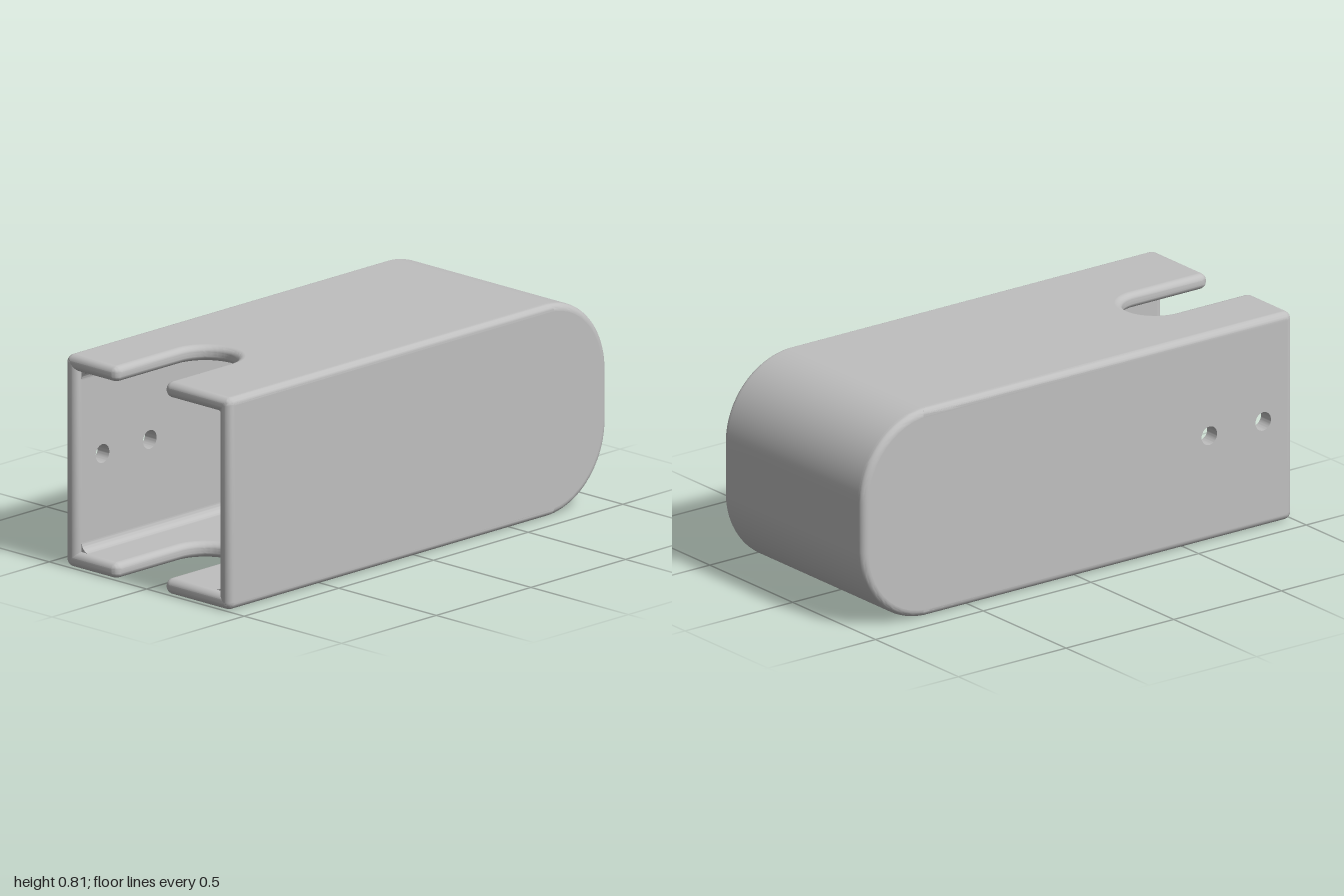
import * as THREE from 'three';
import { toCreasedNormals } from 'three/addons/utils/BufferGeometryUtils.js';

const H = 0.815, D = 0.845, T = 0.06; // height, depth, wall thickness
const B = 0.028, R = 0.31, C = 0.03;  // edge rounding, end radius, small corner radius
const XE = 1 - R;                     // where the rounded end starts

// Right-angled outline from [x, y, cornerRadius] entries
function roundedOutline(corners) {
  const pts = [];
  const add = (p) => {
    if (!pts.length || pts[pts.length - 1].distanceTo(p) > 1e-5) pts.push(p);
  };
  corners.forEach(([x, y, r], i) => {
    const p = new THREE.Vector2(x, y);
    if (!r) return add(p);
    const n = corners.length;
    const toward = (c) => new THREE.Vector2(c[0], c[1]).sub(p).normalize();
    const dp = toward(corners[(i + n - 1) % n]), dn = toward(corners[(i + 1) % n]);
    const centre = p.clone().addScaledVector(dp, r).addScaledVector(dn, r);
    const steps = r > 0.1 ? 24 : 6;
    for (let k = 0; k <= steps; k++) {
      const a = (k / steps) * Math.PI / 2;
      add(centre.clone().addScaledVector(dn, -r * Math.cos(a)).addScaledVector(dp, -r * Math.sin(a)));
    }
  });
  return new THREE.Shape(pts);
}

// Smooth rounded edges, but keep the flat faces truly flat
function smooth(geometry) {
  const geo = toCreasedNormals(geometry, 0.5);
  const pos = geo.attributes.position, nor = geo.attributes.normal;
  const tri = new THREE.Triangle(), n = new THREE.Vector3();
  for (let i = 0; i < pos.count; i += 3) {
    tri.setFromAttributeAndIndices(pos, i, i + 1, i + 2).getNormal(n);
    if (Math.abs(n.z) > 0.999) for (let k = 0; k < 3; k++) nor.setXYZ(i + k, 0, 0, Math.sign(n.z));
  }
  return geo;
}

// Sheet of wall thickness with rounded edges; drill holes stay straight
function sheet(shape, holes = []) {
  for (const [x, y, r] of holes) {
    shape.holes.push(new THREE.Path().absarc(x, y, r, 0, Math.PI * 2, true));
  }
  const geo = new THREE.ExtrudeGeometry(shape, {
    depth: T - 2 * B, bevelEnabled: true, bevelThickness: B, bevelSize: B,
    bevelOffset: -B, bevelSegments: 6, curveSegments: 24,
  });
  geo.translate(0, 0, -(T - 2 * B) / 2);
  const pos = geo.attributes.position;
  for (let i = 0; i < pos.count; i++) {
    for (const [x, y, r] of holes) {
      const dx = pos.getX(i) - x, dy = pos.getY(i) - y, d = Math.hypot(dx, dy);
      if (d < r + B + 0.01) pos.setXY(i, x + dx * r / d, y + dy * r / d);
    }
  }
  return smooth(geo);
}

export function createModel() {
  const model = new THREE.Group();
  model.name = 'openCover';
  const grey = new THREE.MeshStandardMaterial({ color: 0xbfbfbf });
  grey.name = 'grey';
  const add = (name, geo) => {
    const mesh = new THREE.Mesh(geo, grey);
    mesh.name = name;
    model.add(mesh);
    return mesh;
  };

  // Side panels, the back one with two screw holes
  const panel = () => roundedOutline([[-1, 0, C], [1, 0, R], [1, H, R], [-1, H, C]]);
  add('frontPanel', sheet(panel())).position.z = D / 2 - T / 2;
  const holes = [[-0.86, 0.415, 0.036], [-0.61, 0.415, 0.036]];
  add('backPanel', sheet(panel(), holes)).position.z = -D / 2 + T / 2;

  // Top and bottom plates with a round-ended slot
  const slotBack = -0.155, slotFront = 0.085, slotEnd = -0.535, slotR = 0.12;
  const plate = sheet(roundedOutline([
    [-1, -D / 2, C], [XE + B, -D / 2, 0], [XE + B, D / 2, 0], [-1, D / 2, C],
    [-1, slotFront, C], [slotEnd, slotFront, slotR], [slotEnd, slotBack, slotR], [-1, slotBack, C],
  ])).rotateX(Math.PI / 2);
  add('topPlate', plate).position.y = H - T / 2;
  add('bottomPlate', plate).position.y = T / 2;

  // Curved closed end
  const endDepth = D - T;
  const end = new THREE.ExtrudeGeometry(roundedOutline([
    [XE, 0, 0], [1, 0, R], [1, H, R], [XE, H, 0],
    [XE, H - T, 0], [1 - T, H - T, R - T], [1 - T, T, R - T], [XE, T, 0],
  ]), { depth: endDepth, bevelEnabled: false });
  end.translate(0, 0, -endDepth / 2);
  add('curvedEnd', smooth(end));

  // Concave fillets along the four inner corners
  const f = 0.035;
  const profile = new THREE.Shape();
  profile.moveTo(0, 0);
  profile.lineTo(f, 0);
  profile.absarc(f, f, f, -Math.PI / 2, -Math.PI, true);
  const fillet = smooth(new THREE.ExtrudeGeometry(profile, {
    depth: XE + 0.97, bevelEnabled: false, curveSegments: 8,
  })).rotateY(Math.PI / 2);
  const y0 = T, y1 = H - T, z = D / 2 - T;
  [[y0, z], [y0, -z], [y1, -z], [y1, z]].forEach(([cy, cz], k) => {
    const mesh = add('innerFillet', fillet);
    mesh.position.set(-0.97, cy, cz);
    mesh.rotation.x = k * Math.PI / 2;
  });

  return model;
}
